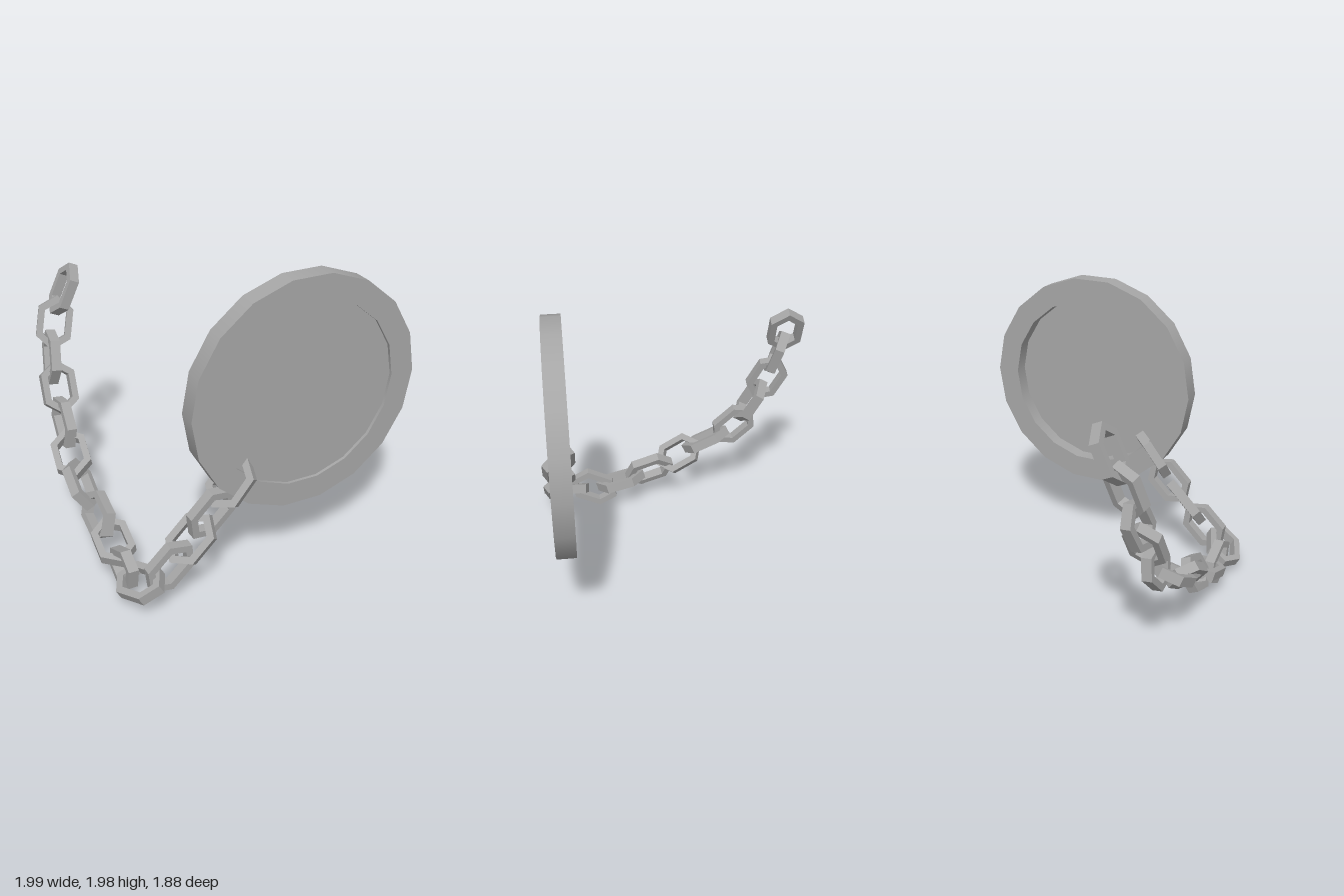
import * as THREE from 'three';

const steel = new THREE.MeshStandardMaterial({ color: 0xa6a6a6 });
steel.name = 'steelGrey';

// Elongated six-sided outline, inset by t on every side
function hexPoints(t) {
  const w = 0.116 - t;
  const tip = 0.187 - t * 1.25;
  const shoulder = 0.1 - t * 0.5;
  return [[0, tip], [-w, shoulder], [-w, -shoulder], [0, -tip], [w, -shoulder], [w, shoulder]]
    .map(([x, y]) => new THREE.Vector2(x, y));
}

function linkGeometry() {
  const depth = 0.066;
  const shape = new THREE.Shape(hexPoints(0));
  shape.holes.push(new THREE.Path(hexPoints(0.043).reverse()));
  const geometry = new THREE.ExtrudeGeometry(shape, { depth, bevelEnabled: false });
  return geometry.translate(0, 0, -depth / 2);
}

// Each link: centre, long axis, width direction
const LINKS = [
  [[-0.257, 0.76, 0.815], [0.62, 0.78, 0], [0.05, -0.04, 0.095]],
  [[-0.39, 0.585, 0.815], [0.7, 0.7, 0], [-0.7, 0.7, 0.1]],
  [[-0.525, 0.435, 0.82], [0.7, 0.7, 0], [0.045, -0.045, 0.095]],
  [[-0.67, 0.285, 0.825], [0.72, 0.69, 0], [-0.7, 0.7, 0]],
  [[-0.84, 0.18, 0.77], [0.35, 0.25, 0.88], [0.83, 0.45, -0.4]],
  [[-0.865, 0.165, 0.565], [0, 0.43, 0.9], [0, 0.9, -0.43]],
  [[-0.85, 0.215, 0.36], [0.05, 0.27, -0.96], [1, 0.2, 0]],
  [[-0.865, 0.29, 0.14], [0, 0.3, -0.95], [0.4, 0.9, 0.3]],
  [[-0.89, 0.395, -0.09], [0, 0.5, -0.87], [-0.75, 0.6, 0.35]],
  [[-0.88, 0.51, -0.295], [0.1, 0.45, -0.88], [1, 0.3, 0]],
  [[-0.85, 0.645, -0.5], [0.05, 0.68, -0.73], [0.1, 0.7, 0.7]],
  [[-0.83, 0.85, -0.62], [0.05, 0.86, -0.5], [1, 0, 0]],
  [[-0.83, 1.03, -0.735], [0.15, 0.87, -0.45], [0, 0.45, 0.87]],
  [[-0.775, 1.255, -0.79], [0.25, 0.92, -0.25], [1, -0.1, 0.3]],
  [[-0.685, 1.47, -0.82], [0.42, 0.9, 0], [0, 0, 1]],
];

function createChain() {
  const chain = new THREE.Group();
  chain.name = 'chain';
  const geometry = linkGeometry();
  LINKS.forEach(([centre, axis, width], i) => {
    const y = new THREE.Vector3(...axis).normalize();
    const z = new THREE.Vector3(...width).cross(y).normalize();
    const x = new THREE.Vector3().crossVectors(y, z);
    const link = new THREE.Mesh(geometry, steel);
    link.name = `chainLink${i + 1}`;
    link.quaternion.setFromRotationMatrix(new THREE.Matrix4().makeBasis(x, y, z));
    link.position.set(...centre);
    chain.add(link);
  });
  return chain;
}

function createDisc() {
  const disc = new THREE.Group();
  disc.name = 'disc';
  // One lathe band per profile segment keeps the corners sharp and the walls smooth
  const band = (name, r0, z0, r1, z1) => {
    const points = [new THREE.Vector2(r0, z0), new THREE.Vector2(r1, z1)];
    const geometry = new THREE.LatheGeometry(points, 18, Math.PI / 2).rotateX(Math.PI / 2);
    const mesh = new THREE.Mesh(geometry, steel);
    mesh.name = name;
    disc.add(mesh);
  };
  const outer = 0.755, inner = 0.6, back = 0.735, front = 0.86;
  band('rimOuterWall', outer, back, outer, front);
  band('rimFront', outer, front, inner, front);
  band('frontRecessWall', inner, front, inner, 0.84);
  band('panelFront', inner, 0.84, 0, 0.84);
  band('panelBack', 0, 0.835, inner, 0.835);
  band('backRecessWall', inner, 0.835, inner, back);
  band('rimBack', inner, back, outer, back);
  disc.position.set(0.22, 1.255, 0);
  return disc;
}

export function createModel() {
  const model = new THREE.Group();
  model.name = 'discOnChain';
  model.add(createDisc(), createChain());
  return model;
}
